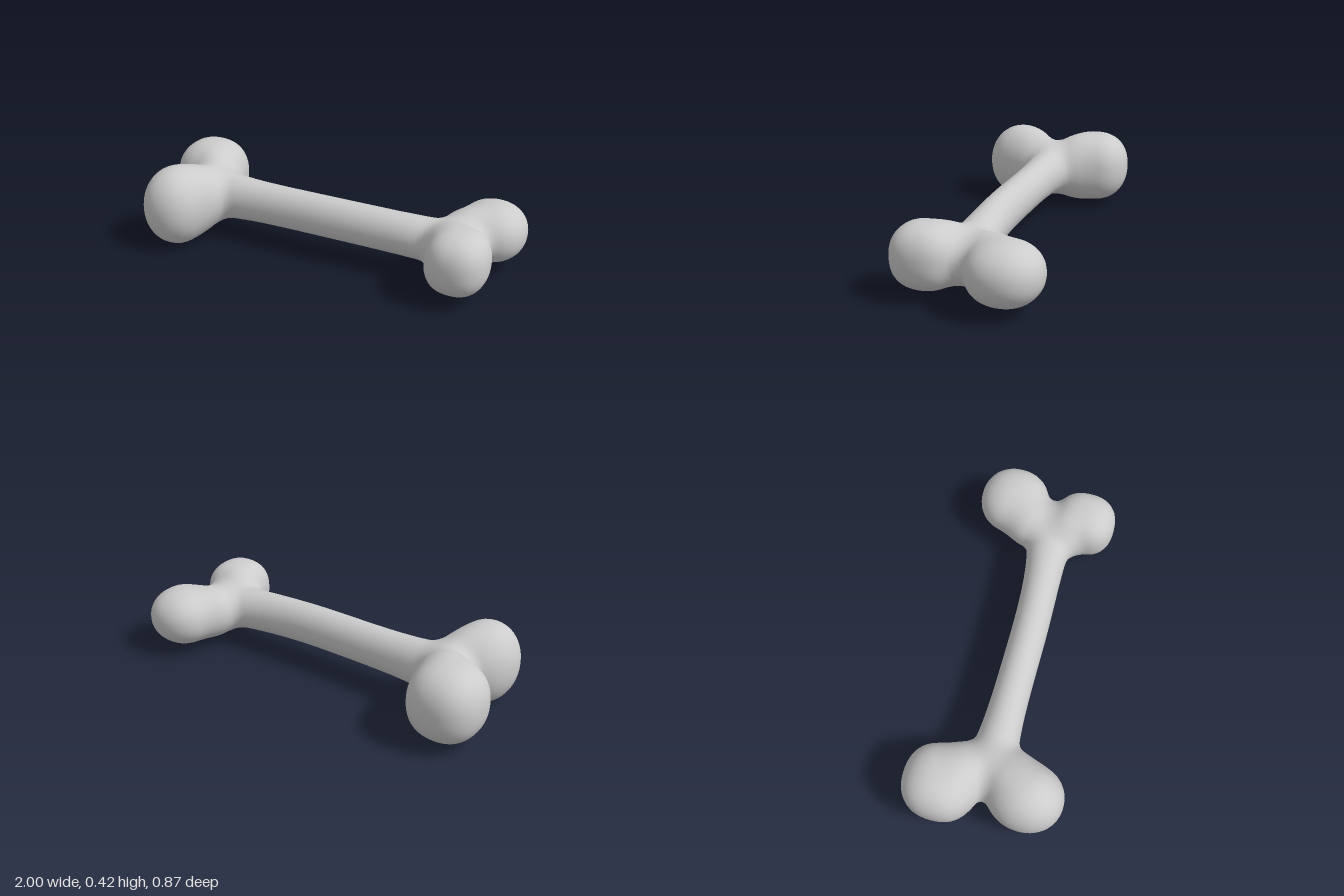
import * as THREE from 'three';

// Rounded masses: centre, radii, exponent (above 2 is boxier)
const masses = [
  // right end: back knuckle, front knuckle, their roots, neck
  { c: [-0.81, 0.215, -0.19], r: [0.19, 0.195, 0.19], p: 2.3 },
  { c: [-0.768, 0.2125, 0.242], r: [0.172, 0.2125, 0.191], p: 2.1 },
  { c: [-0.74, 0.215, -0.1], r: [0.15, 0.165, 0.13], p: 2 },
  { c: [-0.71, 0.215, 0.15], r: [0.145, 0.165, 0.14], p: 2 },
  { c: [-0.68, 0.215, 0.03], r: [0.12, 0.125, 0.12], p: 2 },
  // left end: back knuckle, front knuckle, their roots, neck
  { c: [0.82, 0.193, -0.25], r: [0.18, 0.152, 0.185], p: 2.15 },
  { c: [0.777, 0.206, 0.155], r: [0.157, 0.162, 0.166], p: 2.4 },
  { c: [0.72, 0.19, -0.14], r: [0.13, 0.13, 0.12], p: 2 },
  { c: [0.71, 0.2, 0.07], r: [0.125, 0.125, 0.1], p: 2 },
  { c: [0.72, 0.19, -0.03], r: [0.12, 0.105, 0.1], p: 2 },
];

function smoothMin(a, b, k) {
  const h = Math.max(k - Math.abs(a - b), 0) / k;
  return Math.min(a, b) - h * h * k / 4;
}

function massDistance({ c, r, p }, q) {
  let sum = 0;
  for (let i = 0; i < 3; i++) sum += Math.abs((q[i] - c[i]) / r[i]) ** p;
  return (sum ** (1 / p) - 1) * (r[0] + r[1] + r[2]) / 3;
}

// Oval shaft that flares to the ends, with a bent centre line
function shaftDistance([x, y, z]) {
  const left = Math.max(x, 0), right = Math.max(-x, 0);
  const cy = 0.217 - 0.05 * left ** 2;
  const cz = 0.03 - 0.09 * left ** 2;
  const ry = 0.112 + 0.15 * right ** 4;
  const rz = 0.094 + 0.2 * x ** 4;
  const side = (Math.hypot((y - cy) / ry, (z - cz) / rz) - 1) * 0.1;
  return -smoothMin(-side, 0.74 - Math.abs(x), 0.1);
}

function boneDistance(q) {
  let d = shaftDistance(q);
  for (const m of masses) d = smoothMin(d, massDistance(m, q), 0.07);
  return d;
}

function gradient(q) {
  const e = 0.004;
  return new THREE.Vector3(...[0, 1, 2].map((i) => {
    const a = [...q], b = [...q];
    a[i] += e;
    b[i] -= e;
    return (boneDistance(a) - boneDistance(b)) / (2 * e);
  }));
}

// Wraps a quad skin around the blended volume, one vertex per crossed cell
function skinGeometry() {
  const h = 0.025, n = [86, 24, 42], origin = [-1.075, -0.08, -0.525];
  const at = (i, j, k) => i + (n[0] + 1) * (j + (n[1] + 1) * k);
  const point = (i, j, k) => [origin[0] + i * h, origin[1] + j * h, origin[2] + k * h];
  const field = [];
  for (let k = 0; k <= n[2]; k++)
    for (let j = 0; j <= n[1]; j++)
      for (let i = 0; i <= n[0]; i++) field[at(i, j, k)] = boneDistance(point(i, j, k));

  const positions = [], normals = [], indices = [], cell = new Map();
  for (let k = 0; k < n[2]; k++)
    for (let j = 0; j < n[1]; j++)
      for (let i = 0; i < n[0]; i++) {
        let inside = 0;
        for (let c = 0; c < 8; c++)
          if (field[at(i + (c & 1), j + ((c >> 1) & 1), k + (c >> 2))] < 0) inside++;
        if (inside === 0 || inside === 8) continue;
        // Pull the cell centre onto the surface
        const q = point(i + 0.5, j + 0.5, k + 0.5);
        for (let s = 0; s < 4; s++) {
          const g = gradient(q), t = boneDistance(q) / Math.max(g.lengthSq(), 0.1);
          q[0] -= g.x * t;
          q[1] -= g.y * t;
          q[2] -= g.z * t;
        }
        cell.set(at(i, j, k), positions.length / 3);
        positions.push(...q);
        normals.push(...gradient(q).normalize().toArray());
      }

  // One quad around every grid edge that crosses the surface
  for (let k = 1; k < n[2]; k++)
    for (let j = 1; j < n[1]; j++)
      for (let i = 1; i < n[0]; i++)
        for (let axis = 0; axis < 3; axis++) {
          const step = (a, s) => [0, 1, 2].map((m) => (m === a ? s : 0));
          const d = step(axis, 1);
          const startIn = field[at(i, j, k)] < 0;
          const endIn = field[at(i + d[0], j + d[1], k + d[2])] < 0;
          if (startIn === endIn) continue;
          const u = step((axis + 1) % 3, -1), v = step((axis + 2) % 3, -1);
          const corner = (a, b) =>
            cell.get(at(i + a * u[0] + b * v[0], j + a * u[1] + b * v[1], k + a * u[2] + b * v[2]));
          const quad = [corner(0, 0), corner(1, 0), corner(1, 1), corner(0, 1)];
          if (!startIn) quad.reverse();
          const [a, b, c, e] = quad;
          indices.push(a, b, c, a, c, e);
        }

  const geometry = new THREE.BufferGeometry();
  geometry.setAttribute('position', new THREE.Float32BufferAttribute(positions, 3));
  geometry.setAttribute('normal', new THREE.Float32BufferAttribute(normals, 3));
  geometry.setIndex(indices);
  return geometry;
}

export function createModel() {
  const group = new THREE.Group();
  group.name = 'bone';
  const bone = new THREE.Mesh(skinGeometry(), new THREE.MeshStandardMaterial({ color: 0xcccccc }));
  bone.name = 'boneBody';
  group.add(bone);
  return group;
}
